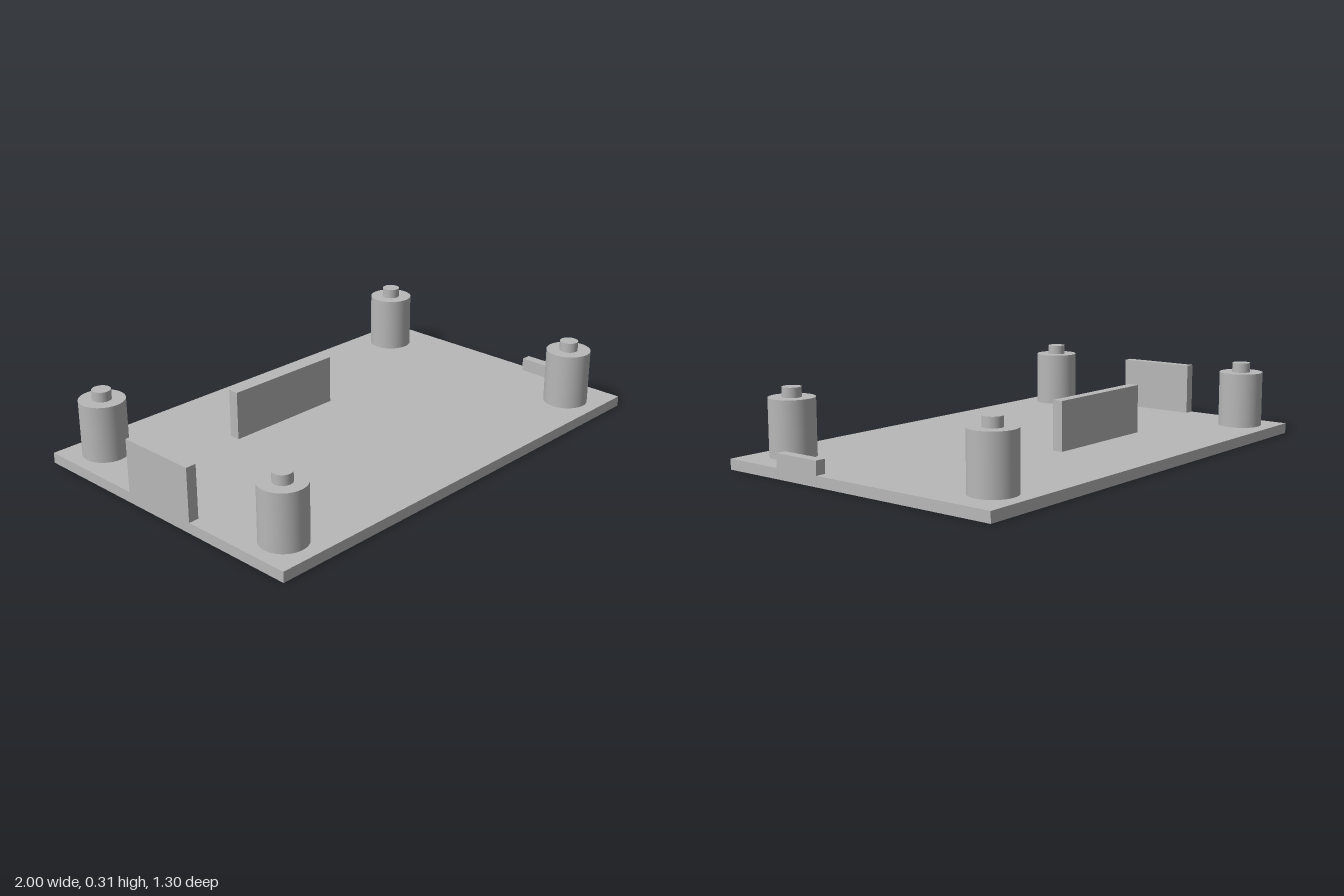
import * as THREE from 'three';

export function createModel() {
  const group = new THREE.Group();
  const grey = new THREE.MeshStandardMaterial({ color: 0xb8b8b8 });
  grey.name = 'plain grey';
  const plateTop = 0.043;

  const add = (name, geometry, x, y, z) => {
    const mesh = new THREE.Mesh(geometry, grey);
    mesh.name = name;
    mesh.position.set(x, y, z);
    group.add(mesh);
  };

  // Box given by its extents on each axis
  const block = (name, x0, x1, y0, y1, z0, z1) =>
    add(name, new THREE.BoxGeometry(x1 - x0, y1 - y0, z1 - z0),
      (x0 + x1) / 2, (y0 + y1) / 2, (z0 + z1) / 2);

  // Upright cylinder standing on y0
  const post = (name, radius, y0, y1, x, z) =>
    add(name, new THREE.CylinderGeometry(radius, radius, y1 - y0, 64), x, (y0 + y1) / 2, z);

  // Base plate and the upright tabs on it
  block('basePlate', -1, 1, 0, plateTop, -0.65, 0.65);
  block('rightEdgeTab', -1, -0.957, plateTop, 0.26, -0.17, 0.17);
  block('leftEdgeTab', 0.957, 1, plateTop, 0.099, 0.17, 0.385);
  block('centreTab', -0.417, 0.11, plateTop, 0.245, -0.262, -0.217);

  // Four standoffs, each topped by a locating pin
  for (const [side, x] of [['Right', -0.856], ['Left', 0.813]]) {
    for (const [end, z] of [['front', 0.503], ['back', -0.503]]) {
      post(`${end}${side}Standoff`, 0.092, plateTop, 0.274, x, z);
      post(`${end}${side}Pin`, 0.038, 0.274, 0.314, x, z);
    }
  }
  return group;
}
